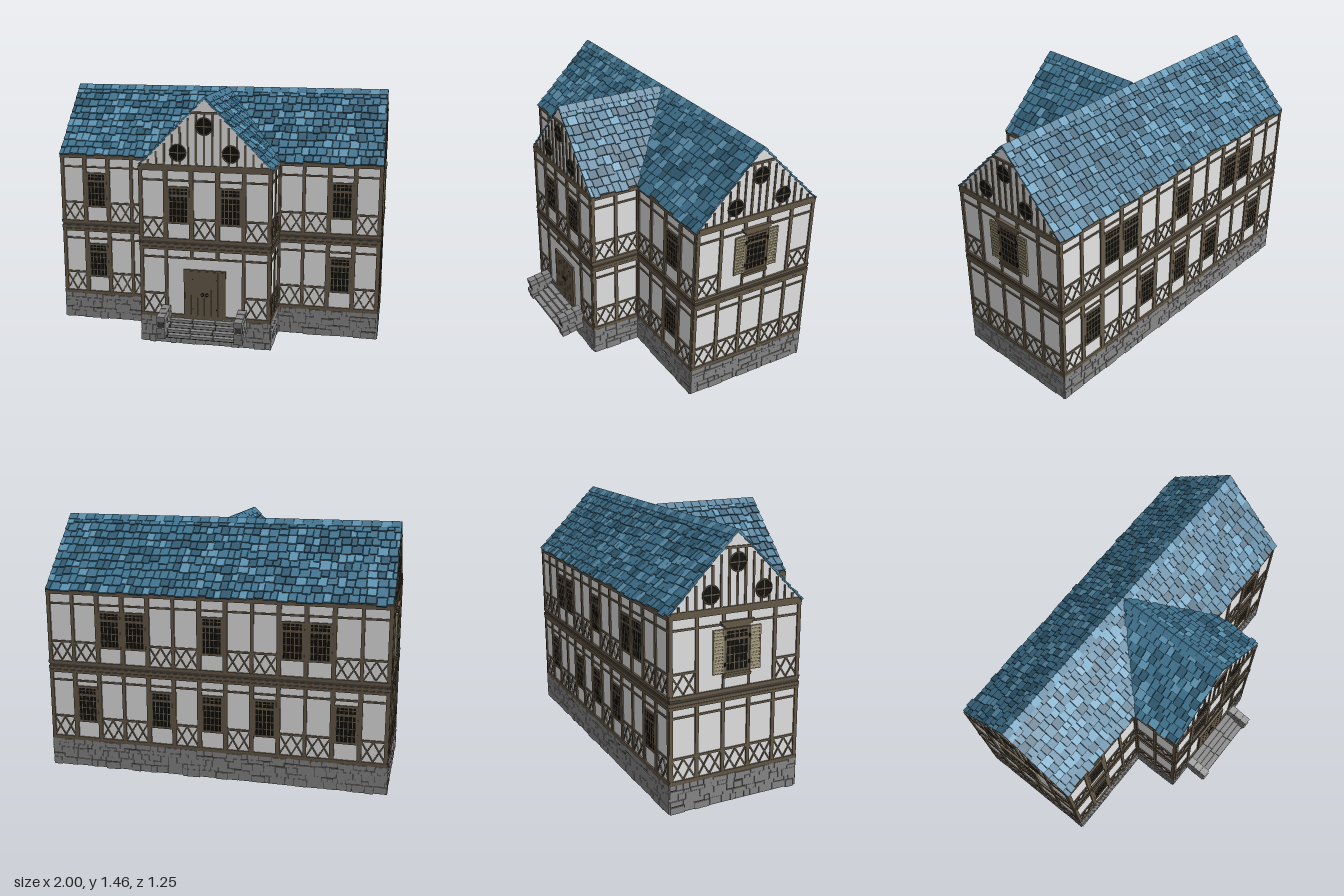
import * as THREE from 'three';
import { mergeGeometries } from 'three/addons/utils/BufferGeometryUtils.js';

const flat = (name, color, side = THREE.FrontSide) => {
  const m = new THREE.MeshStandardMaterial({ color, side });
  m.name = name;
  return m;
};

export function createModel() {
  const house = new THREE.Group();
  house.name = 'timberFramedHouse';
  const plaster = flat('plaster', 0xe6e6e6, THREE.DoubleSide);
  const timber = flat('timber', 0x665a49);
  const shutterWood = flat('shutterWood', 0x938a6e);
  const glass = flat('darkGlass', 0x0e0e0c);
  const stone = flat('stone', 0x888888);
  const shadowBrown = flat('shadowBrown', 0x45413a);
  const roofBed = flat('roofBed', 0x1f3a49, THREE.DoubleSide);
  const tiles = [flat('tileMid', 0x427693), flat('tileLight', 0x5f97b6), flat('tileDark', 0x325d75)];

  let seed = 7;
  const rnd = () => (seed = (seed * 16807) % 2147483647) / 2147483647;

  // Collect geometry by part name, merged into one mesh each at the end
  const parts = new Map();
  function add(name, mat, geo, matrix) {
    const g = geo.index ? geo.toNonIndexed() : geo;
    g.deleteAttribute('uv');
    if (matrix) g.applyMatrix4(matrix);
    if (!parts.has(name)) parts.set(name, { mat, list: [] });
    parts.get(name).list.push(g);
  }
  function box(name, mat, M, x, y, z, w, h, d, rz = 0, rx = 0) {
    const g = new THREE.BoxGeometry(w, h, d).rotateZ(rz).rotateX(rx).translate(x, y, z);
    add(name, mat, g, M);
  }
  // Flat convex polygon from corner points
  function poly(name, mat, pts, M) {
    const pos = [];
    for (let i = 1; i < pts.length - 1; i++) pos.push(...pts[0], ...pts[i], ...pts[i + 1]);
    const g = new THREE.BufferGeometry();
    g.setAttribute('position', new THREE.Float32BufferAttribute(pos, 3));
    g.computeVertexNormals();
    add(name, mat, g, M);
  }

  // Main dimensions
  const X = 0.982, WX = 0.382, BACK = -0.608, FRONT = 0.152, WING = 0.452;
  const EAVE = 1.062, RIDGE = 1.447, MID = (BACK + FRONT) / 2;

  function windowUnit(M, x, y, w, h) {
    box('windowGlass', glass, M, x, y, 0.001, w, h, 0.009);
    for (const s of [-1, 1]) {
      box('windowFrames', timber, M, x + s * w / 2, y, 0.005, 0.014, h + 0.012, 0.009);
      box('windowFrames', timber, M, x, y + s * h / 2, 0.005, w, 0.012, 0.009);
    }
    for (const k of [-0.3, -0.1, 0.1, 0.3]) box('windowBars', timber, M, x + k * w, y, 0.0065, 0.0045, h, 0.003);
    for (const k of [-0.3, -0.1, 0.1, 0.27, 0.4]) box('windowBars', timber, M, x, y + k * h, 0.0065, w, k === 0.27 ? 0.013 : 0.0045, 0.004);
  }

  // Two crossed pairs of thin braces filling one bay
  function lattice(M, x, y, w, h) {
    const a = Math.atan2(h, w / 2), len = Math.hypot(h, w / 2);
    for (const o of [-1, 1]) for (const s of [-1, 1])
      box('latticeBraces', timber, M, x + o * w / 4, y, s > 0 ? 0.003 : 0.0025, len, 0.008, 0.005, s * a);
  }

  function stoneBase(M, w) {
    box('baseMortar', shadowBrown, M, 0, 0.08, 0.002, w + 0.004, 0.16, 0.004);
    const rows = [0.042, 0.026, 0.04, 0.022, 0.03];
    let y = 0;
    for (const h of rows) {
      let x = -w / 2 - 0.004;
      while (x < w / 2) {
        const l = Math.min(0.025 + rnd() * 0.075, w / 2 + 0.005 - x);
        const cut = rnd() * 0.008;
        if (l > 0.008) box('baseStones', stone, M, x + l / 2, y + h / 2 + (rnd() - 0.5) * 0.008, 0.005,
          l - 0.003, h + 0.003 - cut, 0.006 + rnd() * 0.004, (rnd() - 0.5) * 0.05);
        x += l;
      }
      y += h;
    }
  }

  // One wall: local x runs along it, +z points outward
  function facade(x, z, ry, w, bays, { lower = [], upper = [], plainLower = [], plainUpper = [], gable = false } = {}) {
    const M = new THREE.Matrix4().makeRotationY(ry).setPosition(x, 0, z);
    const bw = w / bays, e = w / 2 + 0.003;
    poly('plasterWalls', plaster, [[-e, 0, -0.003], [e, 0, -0.003], [e, EAVE, -0.003], [-e, EAVE, -0.003]], M);
    stoneBase(M, w);
    for (const [y, h, d] of [[0.17, 0.022, 0.009], [0.525, 0.011, 0.006], [0.578, 0.016, 0.008], [0.598, 0.018, 0.011],
      [0.632, 0.018, 0.011], [0.982, 0.011, 0.006], [1.048, 0.024, 0.009]])
      box('horizontalBeams', timber, M, 0, y, d / 2, w + 0.012, h, d);
    box('floorBeamRecess', shadowBrown, M, 0, 0.615, 0.003, w + 0.006, 0.018, 0.006);
    const storeys = [[0.17, 0.58, 0.302, lower, plainLower], [0.632, 1.045, 0.757, upper, plainUpper]];
    for (const [y0, y1, rail, wins, plain] of storeys) {
      for (let i = 0; i <= bays; i++) {
        const px = THREE.MathUtils.clamp(-w / 2 + i * bw, -w / 2 + 0.006, w / 2 - 0.006);
        const inner = plain.includes(i) && plain.includes(i - 1);
        const by = inner ? (gable ? 0.99 : 0.53) : y0;
        const beside = wins.includes(i) || wins.includes(i - 1);
        box('posts', timber, M, px, (by + y1) / 2, 0.004, beside ? 0.026 : 0.02, y1 - by, 0.008);
        if (inner && gable) box('posts', timber, M, px, 0.675, 0.004, 0.012, 0.085, 0.008);
      }
      for (let i = 0; i < bays; i++) {
        const cx = -w / 2 + (i + 0.5) * bw;
        if (wins.includes(i)) windowUnit(M, cx, y0 === 0.17 ? 0.385 : 0.838, 0.118, 0.208);
        else if (!plain.includes(i)) {
          box('midRails', timber, M, cx, rail, 0.003, bw, 0.012, 0.006);
          lattice(M, cx, (y0 + rail) / 2 + 0.004, bw - 0.02, rail - y0 - 0.02);
        }
      }
    }
    if (gable) gableEnd(M, w / 2);
    return M;
  }

  // Studded triangle with three round windows
  function gableEnd(M, hw) {
    poly('gablePlaster', plaster, [[-hw, EAVE, 0.001], [hw, EAVE, 0.001], [0, RIDGE + 0.006, 0.001]], M);
    box('horizontalBeams', timber, M, 0, 1.064, 0.006, 2 * hw - 0.01, 0.018, 0.008);
    box('horizontalBeams', timber, M, 0, 1.37, 0.006, 0.15, 0.013, 0.008);
    for (let i = -7; i <= 7; i++) {
      const x = i * 0.047, top = Math.min(1.37, RIDGE - 0.012 - Math.abs(x) * 1.02);
      box('gableStuds', timber, M, x, (1.06 + top) / 2, 0.005, i % 2 ? 0.013 : 0.01, top - 1.06, 0.006);
    }
    for (const [x, y] of [[-0.153, 1.143], [0.153, 1.143], [0, 1.295]]) {
      add('roundGlass', glass, new THREE.CylinderGeometry(0.046, 0.046, 0.008, 20).rotateX(Math.PI / 2).translate(x, y, 0.006), M);
      add('roundFrames', timber, new THREE.TorusGeometry(0.047, 0.004, 5, 20).translate(x, y, 0.008), M);
      box('roundBars', timber, M, x, y, 0.01, 0.09, 0.006, 0.003);
      box('roundBars', timber, M, x, y, 0.01, 0.006, 0.09, 0.003);
    }
  }

  // Large window with louvred shutters, sill and cornice
  function shutteredWindow(M) {
    windowUnit(M, 0, 0.84, 0.135, 0.22);
    for (const s of [-1, 1]) {
      const x = s * 0.108;
      box('shutters', shutterWood, M, x, 0.84, 0.006, 0.062, 0.235, 0.007);
      for (const k of [-1, 1]) box('shutterStiles', shutterWood, M, x + k * 0.028, 0.84, 0.009, 0.008, 0.235, 0.008);
      for (let i = 0; i < 13; i++)
        box('shutterSlats', shutterWood, M, x, 0.733 + i * 0.0178, 0.011, 0.05, 0.01, 0.004, 0, -0.3);
      for (const y of [0.77, 0.91]) box('shutterHinges', glass, M, s * 0.072, y, 0.013, 0.01, 0.018, 0.005);
    }
    for (const [y, w, h, d] of [[0.967, 0.15, 0.014, 0.012], [0.98, 0.175, 0.014, 0.015], [0.992, 0.195, 0.012, 0.018],
      [0.718, 0.15, 0.012, 0.014], [0.706, 0.165, 0.014, 0.017]])
      box('cornicesAndSills', timber, M, 0, y, d / 2, w, h, d);
  }

  // Walls all round
  const H = Math.PI / 2, sideX = (X + WX) / 2;
  facade(sideX, FRONT, 0, X - WX, 4, { lower: [2], upper: [2] });
  facade(-sideX, FRONT, 0, X - WX, 4, { lower: [1], upper: [1] });
  const front = facade(0, WING, 0, 2 * WX, 5, { upper: [1, 3], plainLower: [1, 2, 3] });
  gableEnd(front, WX);
  facade(0, BACK, Math.PI, 2 * X, 13, { lower: [1, 4, 6, 8, 11], upper: [2, 3, 6, 9, 10] });
  for (const s of [-1, 1]) {
    facade(s * WX, (FRONT + WING) / 2, s * H, WING - FRONT, 2);
    shutteredWindow(facade(s * X, MID, s * H, FRONT - BACK, 5, { plainUpper: [1, 2, 3], gable: true }));
  }

  // Double door
  box('door', timber, front, 0, 0.307, 0.001, 0.24, 0.295, 0.009);
  for (const s of [-1, 1]) {
    for (let i = 0; i < 3; i++) box('doorPlanks', timber, front, s * (0.021 + i * 0.039), 0.307, 0.007, 0.036, 0.285, 0.005);
    box('doorFrame', timber, front, s * 0.12, 0.307, 0.006, 0.008, 0.3, 0.01);
    add('doorRings', glass, new THREE.TorusGeometry(0.009, 0.0025, 5, 12).translate(s * 0.014, 0.31, 0.012), front);
    for (const y of [0.22, 0.4]) box('doorStuds', glass, front, s * 0.07, y, 0.01, 0.005, 0.005, 0.003);
  }
  box('doorFrame', timber, front, 0, 0.455, 0.006, 0.248, 0.008, 0.01);

  // Stone steps between sloping side walls
  for (let i = 0; i < 4; i++) {
    const y = 0.15 - i * 0.019, z = 0.482 + i * 0.032;
    box('stepCore', shadowBrown, null, 0, y - 0.006, (WING + z) / 2, 0.4, 0.016, z - WING + 0.018);
    for (let k = 0; k < 3; k++)
      box('stepStones', stone, null, (k - 1) * 0.134 + (i % 2) * 0.01, y, z, 0.13, 0.017, 0.034);
  }
  for (const s of [-1, 1]) {
    box('stairWallCore', shadowBrown, null, s * 0.226, 0.155, 0.532, 0.036, 0.12, 0.14, 0, 0.16);
    for (let r = 0; r < 4; r++) for (let k = 0; k < 3; k++)
      box('stairWallStones', stone, null, s * 0.226, 0.112 + r * 0.035 - k * 0.009, 0.485 + k * 0.049 + (r % 2 ? 0.006 : -0.004),
        0.046 + rnd() * 0.005, 0.033, 0.047, 0, 0.16 + (rnd() - 0.5) * 0.08);
  }

  // Roof underlay, cut along the valleys
  const XR = 0.986, ZR = WING + 0.004;
  poly('roofUnderlay', roofBed, [[XR, RIDGE, MID], [XR, EAVE, BACK], [-XR, EAVE, BACK], [-XR, RIDGE, MID]]);
  for (const s of [-1, 1]) {
    poly('roofUnderlay', roofBed, [[0, RIDGE, MID], [s * WX, EAVE, FRONT], [s * XR, EAVE, FRONT], [s * XR, RIDGE, MID]]);
    poly('roofUnderlay', roofBed, [[0, RIDGE, MID], [0, RIDGE, ZR], [s * WX, EAVE, ZR], [s * WX, EAVE, FRONT]]);
  }

  // Overlapping tiles; u runs along the ridge, rows step down the slope
  function tileSlope(ry, cx, cz, u0, u1, keep) {
    const run = FRONT - MID, rise = RIDGE - EAVE, rows = 10, step = Math.hypot(run, rise) / rows;
    const M = new THREE.Matrix4().makeRotationY(ry).setPosition(cx, RIDGE, cz)
      .multiply(new THREE.Matrix4().makeRotationX(Math.atan2(rise, run)));
    for (let r = 0; r < rows; r++) {
      let u = u0 - (r % 2) * 0.02;
      while (u < u1) {
        const w = 0.034 + rnd() * 0.028, a = Math.max(u, u0), b = Math.min(u + w, u1);
        u += w;
        if (b - a < 0.008 || !keep(a, b, ((r + 0.5) / rows) * run)) continue;
        const p = rnd(), n = p < 0.62 ? 0 : p < 0.8 ? 1 : 2;
        const l = step + 0.002 + rnd() * 0.018;
        box(['roofTilesMid', 'roofTilesLight', 'roofTilesDark'][n], tiles[n], M, (a + b) / 2, 0.003 + rnd() * 0.003,
          r * step + l / 2, b - a - 0.003, 0.009, l, 0, -0.1 - rnd() * 0.08);
      }
    }
  }
  tileSlope(Math.PI, 0, MID, -0.99, 0.99, () => true);
  tileSlope(0, 0, MID, -0.99, 0.99, (a, b, d) => Math.max(Math.abs(a), Math.abs(b)) > d);
  tileSlope(H, 0, 0, -ZR - 0.002, -MID, (a, b, d) => -a > d + MID);
  tileSlope(-H, 0, 0, MID, ZR + 0.002, (a, b, d) => b > d + MID);

  // Ridge caps
  for (let i = 0; i < 36; i++) {
    const n = i % 3 === 1 ? 1 : 0, name = n ? 'ridgeCapsLight' : 'ridgeCaps';
    for (const s of [-1, 1])
      box(name, tiles[n], null, -0.9625 + i * 0.055, RIDGE - 0.005, MID + s * 0.016, 0.053, 0.007, 0.044, 0, s * 0.72);
  }
  for (let i = 0; i < 12; i++) for (const s of [-1, 1])
    box('wingRidgeCaps', tiles[0], null, s * 0.016, RIDGE - 0.005, ZR - 0.028 - i * 0.055, 0.044, 0.007, 0.053, -s * 0.72);

  for (const [name, { mat, list }] of parts) {
    const mesh = new THREE.Mesh(mergeGeometries(list), mat);
    mesh.name = name;
    house.add(mesh);
  }
  return house;
}
